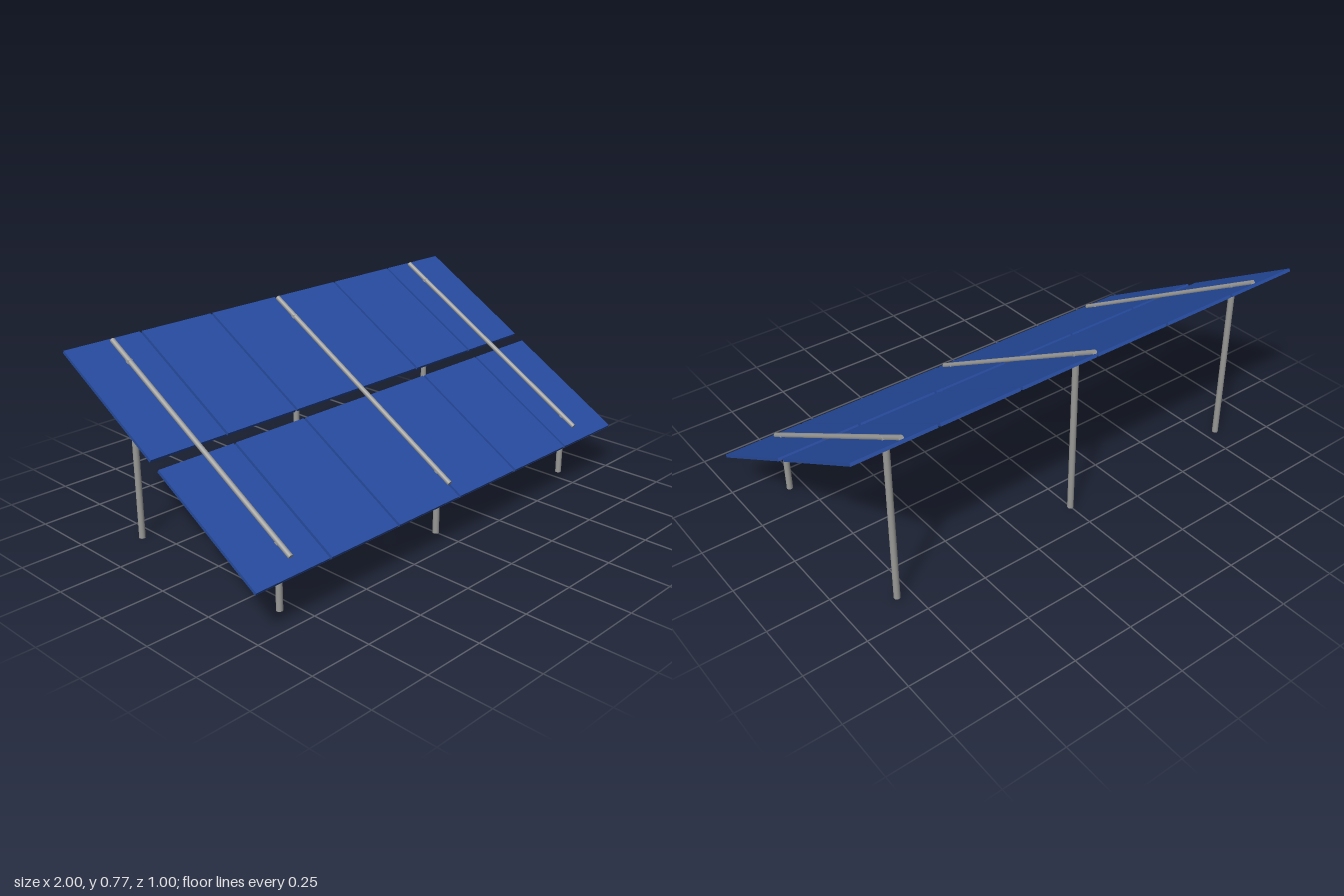
import * as THREE from 'three';

export function createModel() {
  const model = new THREE.Group();
  model.name = 'solarArray';

  const panelBlue = new THREE.MeshStandardMaterial({ color: 0x264b9f });
  panelBlue.name = 'panelBlue';
  const steelGrey = new THREE.MeshStandardMaterial({ color: 0x999997 });
  steelGrey.name = 'steelGrey';

  const add = (parent, name, geometry, material, x, y, z) => {
    const mesh = new THREE.Mesh(geometry, material);
    mesh.name = name;
    mesh.position.set(x, y, z);
    parent.add(mesh);
    return mesh;
  };

  // Tilted table: everything inside lies along the 30 degree slope
  const table = new THREE.Group();
  table.name = 'tiltedTable';
  table.position.y = 0.471;
  table.rotation.x = Math.PI / 6;
  model.add(table);

  // Two rows of six panels
  const panelGeometry = new THREE.BoxGeometry(0.325, 0.012, 0.552);
  for (const z of [-0.299, 0.299]) {
    for (let i = 0; i < 6; i++) {
      add(table, 'panel', panelGeometry, panelBlue, (i - 2.5) * 0.335, 0, z);
    }
  }

  // Each support: a round rail on the slope, a short front post, a tall rear post
  const railGeometry = new THREE.CylinderGeometry(0.01, 0.01, 1.077, 16).rotateX(Math.PI / 2);
  const post = (name, x, z, height) =>
    add(model, name, new THREE.CylinderGeometry(0.0125, 0.0125, height, 16), steelGrey, x, height / 2, z);
  for (const x of [-0.805, 0, 0.805]) {
    add(table, 'rail', railGeometry, steelGrey, x, 0.011, -0.0255);
    post('frontPost', x, 0.3875, 0.258);
    post('rearPost', x, -0.386, 0.71);
  }

  return model;
}
